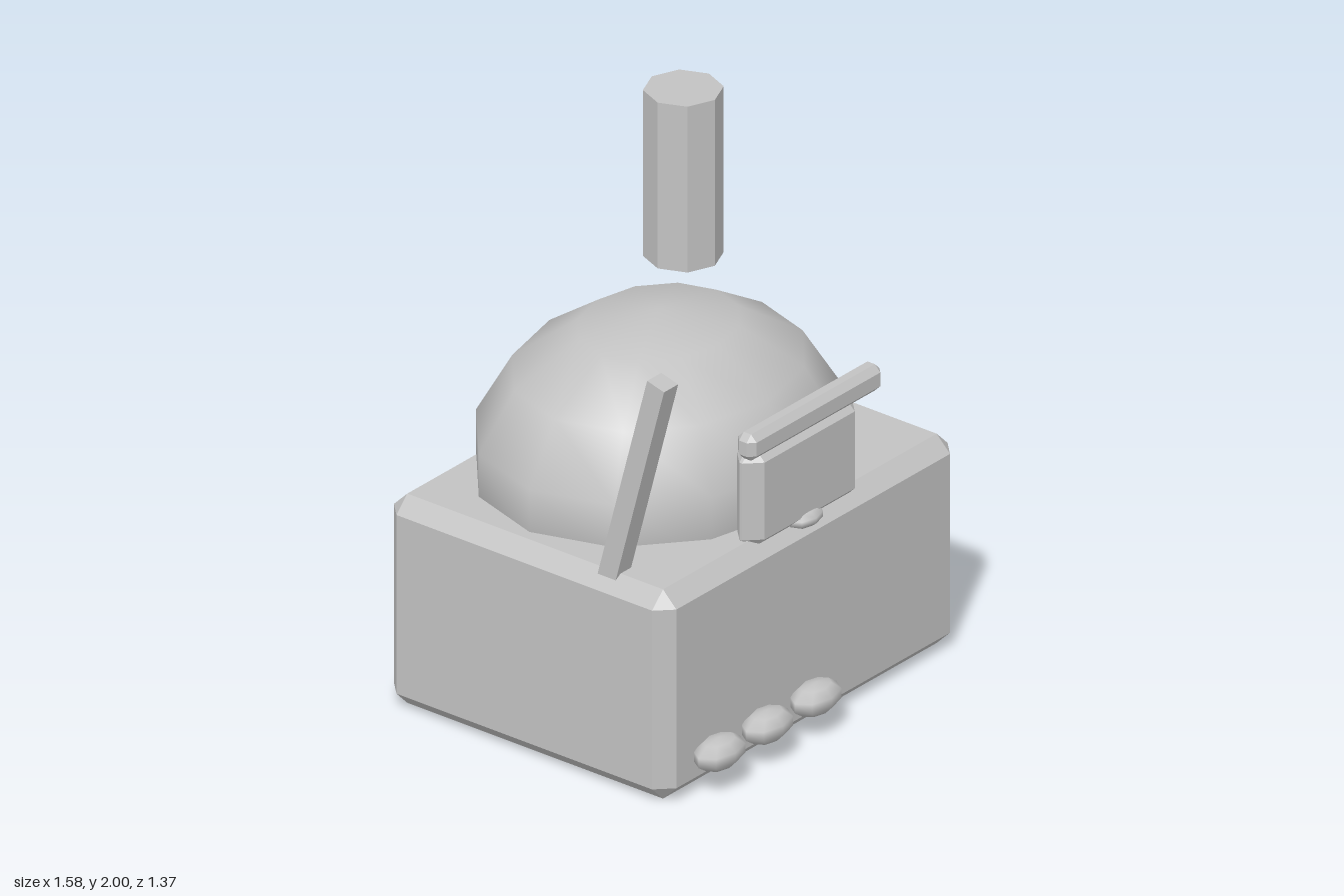
import * as THREE from 'three';
import { ConvexGeometry } from 'three/addons/geometries/ConvexGeometry.js';

const grey = new THREE.MeshStandardMaterial({ color: 0xc2c2c2 });
grey.name = 'plain grey';

// Box with every edge cut by a flat bevel: three corner points per box corner
function bevelledBox(w, h, d, c) {
  const points = [];
  for (const x of [-1, 1]) for (const y of [-1, 1]) for (const z of [-1, 1]) {
    points.push(
      new THREE.Vector3(x * w / 2, y * (h / 2 - c), z * (d / 2 - c)),
      new THREE.Vector3(x * (w / 2 - c), y * h / 2, z * (d / 2 - c)),
      new THREE.Vector3(x * (w / 2 - c), y * (h / 2 - c), z * d / 2));
  }
  return new ConvexGeometry(points);
}

export function createModel() {
  const model = new THREE.Group();
  model.name = 'model';

  function add(name, geometry, x, y, z) {
    const mesh = new THREE.Mesh(geometry, grey);
    mesh.name = name;
    mesh.position.set(x, y, z);
    model.add(mesh);
    return mesh;
  }

  // Smooth squashed ball with few sides
  function addBall(name, sides, rings, radii, position) {
    add(name, new THREE.SphereGeometry(1, sides, rings), ...position).scale.set(...radii);
  }

  // Base and the dome sunk into it
  add('body', bevelledBox(1.58, 0.795, 1.226, 0.058), 0, 0.3975, -0.041);
  addBall('dome', 12, 7, [0.708, 0.527, 0.605], [0, 0.838, -0.1]);

  // Floating octagonal chimney
  const pipe = new THREE.CylinderGeometry(0.137, 0.137, 0.63, 8).toNonIndexed();
  pipe.computeVertexNormals();
  add('chimney', pipe, 0.355, 1.685, -0.28);

  // Front panel with a visor bar above and a small knob below
  add('frontPanel', bevelledBox(0.59, 0.4, 0.12, 0.054), 0, 0.946, 0.497);
  add('visorBar', bevelledBox(0.71, 0.1, 0.08, 0.024), 0, 1.19, 0.555);
  addBall('knob', 8, 5, [0.084, 0.033, 0.058], [0, 0.783, 0.53]);

  // Lever leaning forward, its foot inside the body
  const leverGeometry = new THREE.BoxGeometry(0.076, 0.9, 0.076).translate(0, -0.45, 0);
  add('lever', leverGeometry, -0.714, 1.568, 0.498).rotation.x = Math.PI / 12;

  // Row of buttons low on the front
  for (const x of [-0.555, -0.3, -0.04]) {
    addBall('button', 8, 5, [0.116, 0.058, 0.0735], [x, 0.139, 0.615]);
  }

  return model;
}
